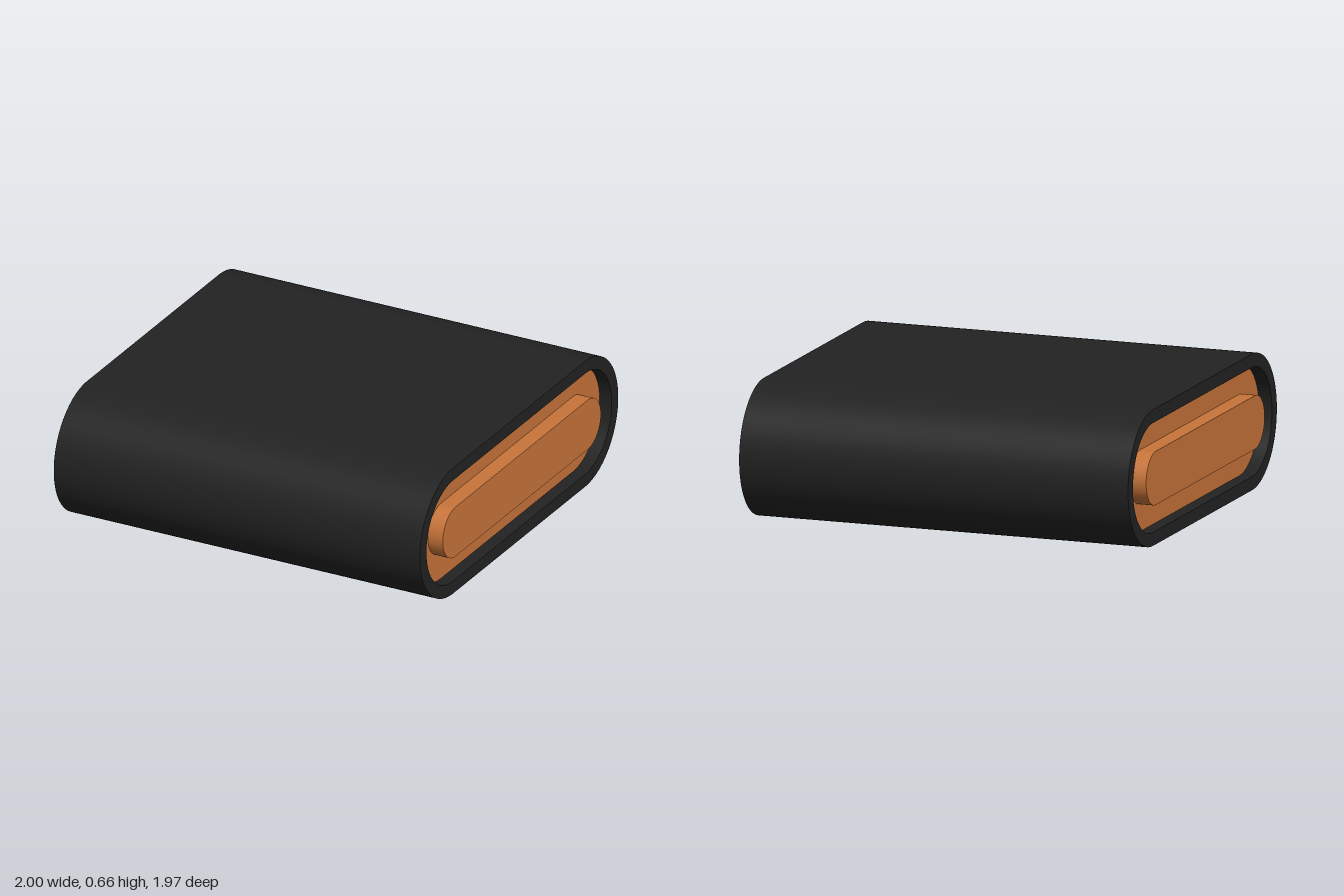
import * as THREE from 'three';
import { toCreasedNormals } from 'three/addons/utils/BufferGeometryUtils.js';

const CENTRE_Y = 0.33;
const HALF_STRAIGHT = 0.655;

// Stadium outline: straight top and bottom with half-round ends
function stadium(PathType, halfLength, radius) {
  const path = new PathType();
  path.moveTo(-halfLength, -radius);
  path.lineTo(halfLength, -radius);
  path.absarc(halfLength, 0, radius, -Math.PI / 2, Math.PI / 2, false);
  path.lineTo(-halfLength, radius);
  path.absarc(-halfLength, 0, radius, Math.PI / 2, Math.PI * 1.5, false);
  return path;
}

// Extrude an outline along x, from x0 to x1
function extrudeAlongX(name, shape, x0, x1, material) {
  const raw = new THREE.ExtrudeGeometry(shape, { depth: x1 - x0, bevelEnabled: false, curveSegments: 40 });
  raw.rotateY(Math.PI / 2);
  raw.translate(x0, CENTRE_Y, 0);
  const mesh = new THREE.Mesh(toCreasedNormals(raw, Math.PI / 6), material);
  mesh.name = name;
  return mesh;
}

export function createModel() {
  const group = new THREE.Group();
  group.name = 'ovalCase';

  const charcoal = new THREE.MeshStandardMaterial({ color: 0x222222 });
  charcoal.name = 'charcoal';
  const orange = new THREE.MeshStandardMaterial({ color: 0xc8743a });
  orange.name = 'orange';

  // Outer sleeve, open at both ends
  const sleeve = stadium(THREE.Shape, HALF_STRAIGHT, 0.33);
  sleeve.holes.push(stadium(THREE.Path, HALF_STRAIGHT, 0.265));
  group.add(extrudeAlongX('sleeve', sleeve, -0.985, 0.985, charcoal));

  // Core whose ends form the recessed panels
  const core = stadium(THREE.Shape, HALF_STRAIGHT, 0.267);
  group.add(extrudeAlongX('core', core, -0.92, 0.92, orange));

  // Raised pad on each end panel
  const pad = stadium(THREE.Shape, HALF_STRAIGHT, 0.13);
  group.add(extrudeAlongX('leftPad', pad, 0.91, 1, orange));
  group.add(extrudeAlongX('rightPad', pad, -1, -0.91, orange));

  return group;
}
